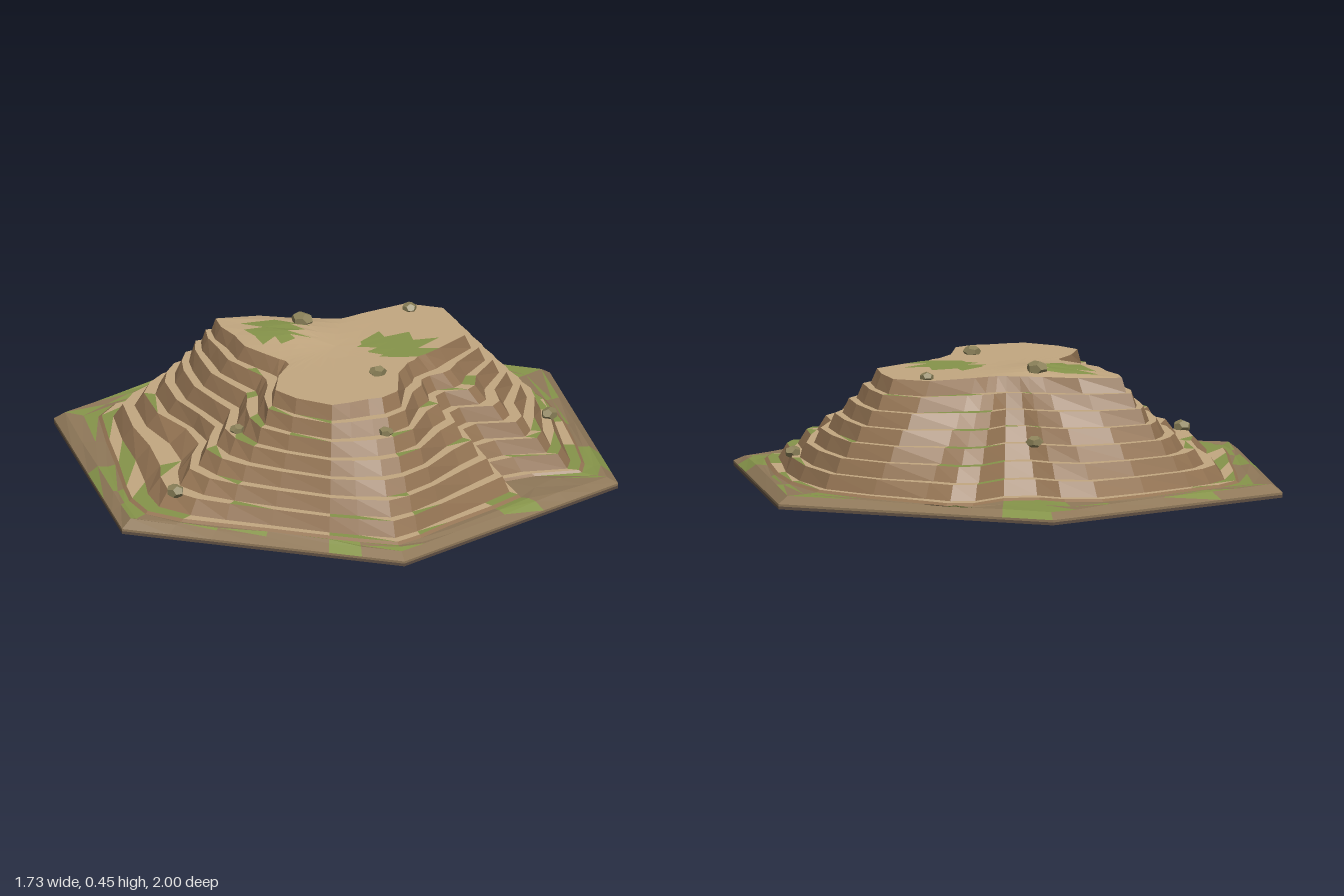
import * as THREE from 'three';

const COLORS = { tread: 0xc2a780, riser: 0x957554, soil: 0x8f7859, grass: 0x86944a, under: 0x5e4f43, rock: 0x8a8058 };

// Contour radii: [angle in degrees from +x toward +z, summit, middle, foot]
const OUTLINE = [
  [0, .31, .55, .77], [15, .44, .63, .80], [24, .47, .67, .86], [30, .47, .68, .90], [38, .49, .67, .85],
  [45, .51, .66, .82], [60, .47, .62, .79], [72, .43, .61, .81], [81, .32, .60, .85], [90, .22, .57, .88],
  [98, .21, .49, .85], [105, .22, .44, .81], [120, .25, .46, .76], [135, .31, .51, .77], [150, .36, .57, .83],
  [158, .43, .60, .82], [165, .48, .62, .79], [180, .38, .58, .77], [195, .29, .54, .79],
  [204, .27, .47, .75], [210, .26, .42, .69], [220, .25, .42, .70], [227, .25, .52, .82], [233, .27, .56, .84],
  [240, .31, .56, .81], [255, .45, .63, .80], [270, .50, .66, .82], [285, .47, .63, .80],
  [300, .45, .62, .79], [315, .35, .57, .81], [325, .31, .61, .85], [330, .29, .60, .86],
  [336, .29, .48, .72], [343, .28, .47, .65], [350, .29, .54, .77],
];
const LEVELS = 8, STEP = 0.05, TOP = 0.4, GROUND = 0.042;

// Grass spots: [x, z, radius]
const SPOTS = [
  [.13, -.17, .11], [-.23, .07, .09], [-.38, -.44, .12], [-.22, -.36, .08], [.1, .52, .07], [-.02, -.88, .08],
  [.18, -.82, .08], [.35, -.68, .07], [.66, -.52, .12], [.77, -.08, .08], [.64, .52, .08], [-.06, .86, .08],
  [-.35, .66, .09], [-.72, .42, .08], [-.8, .2, .07], [-.72, -.5, .09], [.05, .82, .06],
];

let seed = 7;
const rnd = () => (seed = (seed * 16807) % 2147483647) / 2147483647;

// Radius of outline entry o at terrace k, with a wide bench low on the front right
function radius(o, k) {
  const t = k / (LEVELS - 1) * 2;
  const r = t < 1 ? o[1] + (o[2] - o[1]) * t : o[2] + (o[3] - o[2]) * (t - 1);
  const bench = Math.exp(-(((o[0] - 112) / 18) ** 2) - (k - 5) ** 2);
  return r - 0.08 * bench;
}

// Pointed hexagon, corners on the z axis
function hexRadius(deg) {
  const d = ((deg + 30) % 60) - 30;
  return 0.866 / Math.cos(d * Math.PI / 180);
}

function ring(radiusOf, heightOf) {
  return OUTLINE.map(o => {
    const a = o[0] * Math.PI / 180, r = radiusOf(o);
    const x = r * Math.cos(a), z = r * Math.sin(a);
    return [x, typeof heightOf === 'function' ? heightOf(x, z) : heightOf, z];
  });
}

// Triangles between an upper/inner and a lower/outer ring, sorted by colour
function band(buckets, inner, outer, pick) {
  inner.forEach((p, i) => {
    const j = (i + 1) % inner.length;
    const tris = [[p, inner[j], outer[i]], [inner[j], outer[j], outer[i]]];
    for (const t of tris) (buckets[pick(t)] ??= []).push(...t.flat());
  });
}

function addMeshes(group, buckets, name) {
  for (const [key, pos] of Object.entries(buckets)) {
    const g = new THREE.BufferGeometry();
    g.setAttribute('position', new THREE.Float32BufferAttribute(pos, 3));
    g.computeVertexNormals();
    const m = new THREE.Mesh(g, new THREE.MeshStandardMaterial({ color: COLORS[key], flatShading: true }));
    m.name = name + key[0].toUpperCase() + key.slice(1);
    group.add(m);
  }
}

// Colour picker: grass inside the spots and by chance elsewhere
const ground = (base, chance) => t => {
  const x = (t[0][0] + t[1][0] + t[2][0]) / 3, z = (t[0][2] + t[1][2] + t[2][2]) / 3;
  const inSpot = SPOTS.some(s => Math.hypot(x - s[0], z - s[1]) < s[2]);
  return inSpot || rnd() < chance ? 'grass' : base;
};

export function createModel() {
  const root = new THREE.Group();
  root.name = 'terracedHill';

  // Summit plateau with a low mound
  const mound = (x, z) => TOP + 0.02 * Math.exp(-((x + 0.18) ** 2 + (z - 0.03) ** 2) / 0.018);
  const plateau = {};
  const summitRings = [0, 0.2, 0.4, 0.6, 0.8, 1].map(f => ring(o => o[1] * f, f < 1 ? mound : TOP));
  for (let i = 0; i < 5; i++) band(plateau, summitRings[i], summitRings[i + 1], ground('tread', 0));
  addMeshes(root, plateau, 'plateau');

  // Terraces: sloped riser, then flat tread out to the next contour
  const steps = {};
  for (let k = 0; k < LEVELS; k++) {
    const y = TOP - k * STEP, last = k === LEVELS - 1;
    const foot = ring(o => radius(o, k) + (last ? 0.012 : 0.45 * (radius(o, k + 1) - radius(o, k))),
      last ? GROUND : y - STEP);
    band(steps, ring(o => radius(o, k), y), foot, () => 'riser');
    if (!last) band(steps, foot, ring(o => radius(o, k + 1), y - STEP), ground('tread', 0.06));
  }
  addMeshes(root, steps, 'terrace');

  // Hexagonal apron with uneven ground and a bevelled rim
  const apron = {};
  const footRadius = o => radius(o, LEVELS - 1) + 0.012;
  const inner = ring(footRadius, GROUND);
  const middle = ring(o => {
    const mix = 0.35 + 0.3 * rnd();
    return footRadius(o) * (1 - mix) + hexRadius(o[0]) * 0.96 * mix;
  }, () => 0.036 + 0.012 * rnd());
  const shoulder = ring(o => hexRadius(o[0]) * 0.96, () => 0.036 + 0.01 * rnd());
  const rim = ring(o => hexRadius(o[0]), 0.018);
  const skirt = ring(o => hexRadius(o[0]), 0.01);
  const bottom = ring(o => hexRadius(o[0]), 0);
  band(apron, inner, middle, ground('soil', 0.12));
  band(apron, middle, shoulder, ground('soil', 0.12));
  band(apron, shoulder, rim, ground('soil', 0.05));
  band(apron, rim, skirt, () => 'soil');
  band(apron, skirt, bottom, () => 'under');
  addMeshes(root, apron, 'apron');

  // Underside
  const base = new THREE.Mesh(new THREE.CircleGeometry(1, 6, Math.PI / 2),
    new THREE.MeshStandardMaterial({ color: COLORS.under }));
  base.rotation.x = Math.PI / 2;
  base.name = 'underside';
  root.add(base);

  // Scattered boulders: [x, y, z, size]
  const rocks = [
    [-.22, .42, -.05, .042], [.27, .41, .06, .032], [-.07, .405, -.41, .03], [-.43, .21, -.23, .032],
    [.42, .11, -.6, .034], [.5, .31, .24, .028], [.05, .26, .51, .028], [.04, .11, .79, .036],
  ];
  rocks.forEach(([x, y, z, s], i) => {
    const rock = new THREE.Mesh(new THREE.DodecahedronGeometry(s, 0),
      new THREE.MeshStandardMaterial({ color: COLORS.rock, flatShading: true }));
    rock.position.set(x, y, z);
    rock.scale.set(1, 0.65, 0.85);
    rock.rotation.y = i * 1.3;
    rock.name = 'boulder' + (i + 1);
    root.add(rock);
  });

  return root;
}
